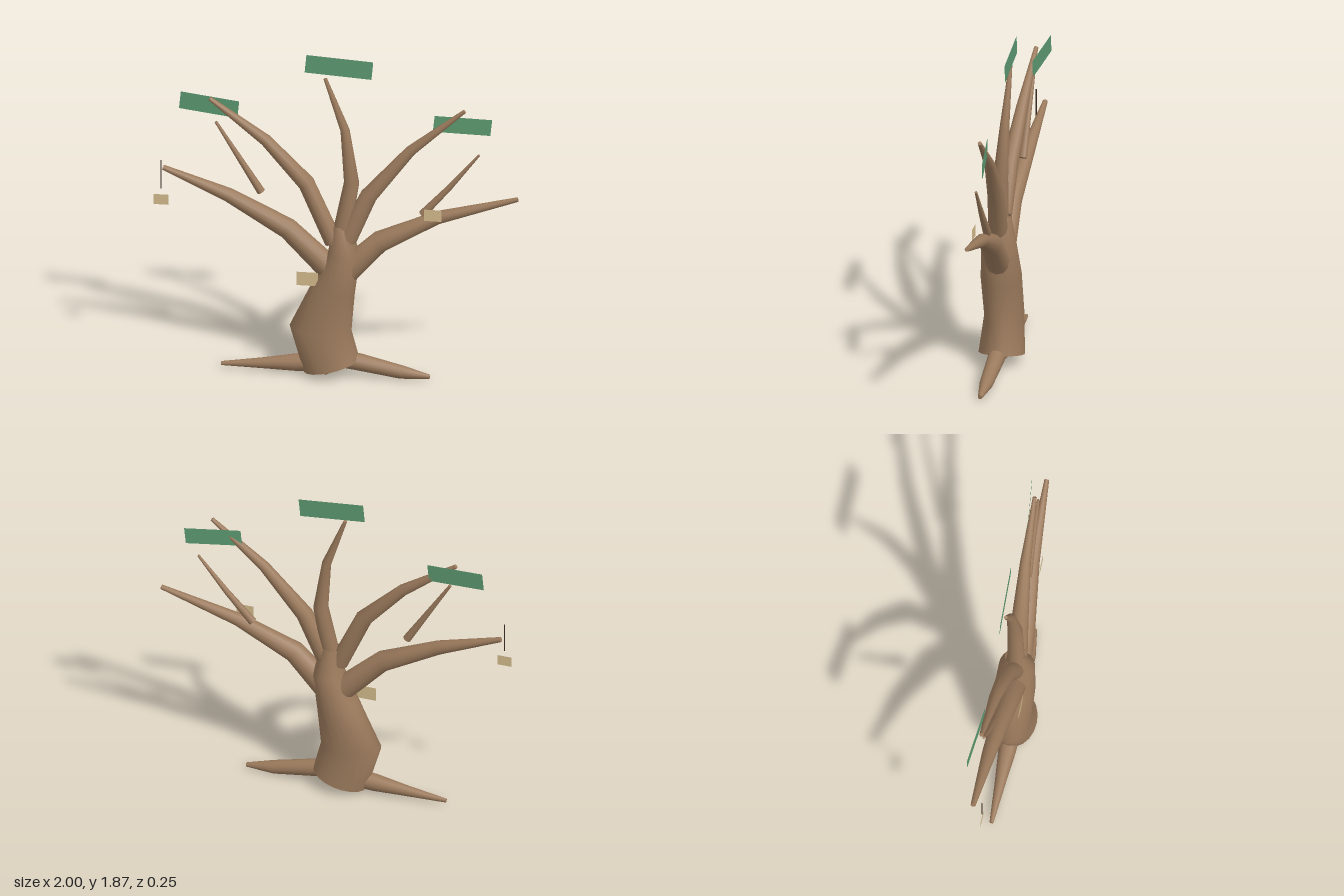
import * as THREE from 'three';

const wood = new THREE.MeshStandardMaterial({ color: 0x9b7a5c, side: THREE.DoubleSide });
const leaf = new THREE.MeshStandardMaterial({ color: 0x5c9970, side: THREE.DoubleSide });
const paper = new THREE.MeshStandardMaterial({ color: 0xd2bb8c, side: THREE.DoubleSide });
const dark = new THREE.MeshStandardMaterial({ color: 0x3a2a22 });

// Tapered limb swept through stations [x, y, z, radius, depthRadius]
function limb(stations, sides, capped) {
  const pts = stations.map(s => new THREE.Vector3(s[0], s[1], s[2]));
  const pos = [], idx = [];
  const ring = i => {
    const a = pts[Math.max(i - 1, 0)], b = pts[Math.min(i + 1, pts.length - 1)];
    const t = b.clone().sub(a).setZ(0).normalize();
    const [, , , r, d = r] = stations[i];
    const start = pos.length / 3;
    for (let j = 0; j < sides; j++) {
      const u = j / sides * Math.PI * 2, c = Math.cos(u) * r;
      pos.push(pts[i].x - t.y * c, pts[i].y + t.x * c, pts[i].z + Math.sin(u) * d);
    }
    return start;
  };
  const rings = pts.map((_, i) => ring(i));
  for (let i = 0; i < rings.length - 1; i++) {
    for (let j = 0; j < sides; j++) {
      const k = (j + 1) % sides, a = rings[i], b = rings[i + 1];
      idx.push(a + j, a + k, b + j, a + k, b + k, b + j);
    }
  }
  // Flat end caps on their own vertices keep the rims sharp
  if (capped) {
    for (const i of [0, pts.length - 1]) {
      const s = ring(i), c = pos.length / 3;
      pos.push(...pts[i].toArray());
      for (let j = 0; j < sides; j++) {
        const k = (j + 1) % sides;
        if (i === 0) idx.push(c, s + k, s + j);
        else idx.push(c, s + j, s + k);
      }
    }
  }
  const g = new THREE.BufferGeometry();
  g.setAttribute('position', new THREE.Float32BufferAttribute(pos, 3));
  g.setIndex(idx);
  g.computeVertexNormals();
  return g;
}

// Flat upright card between two lower corners, with an upward edge vector
function card([x0, y0, z0], [x1, y1, z1], [ux, uy]) {
  const g = new THREE.PlaneGeometry(1, 1);
  const p = g.attributes.position;
  for (let i = 0; i < p.count; i++) {
    const s = p.getX(i) + 0.5, t = p.getY(i) + 0.5;
    p.setXYZ(i, x0 + (x1 - x0) * s + ux * t, y0 + (y1 - y0) * s + uy * t, z0 + (z1 - z0) * s);
  }
  g.computeVertexNormals();
  return g;
}

export function createModel() {
  const tree = new THREE.Group();
  tree.name = 'tree';
  const add = (name, geometry, material) => {
    const m = new THREE.Mesh(geometry, material);
    m.name = name;
    tree.add(m);
  };

  // Bent trunk, open at the foot
  add('trunk', limb([
    [-0.025, 0.065, 0, 0.158, 0.125],
    [-0.085, 0.28, 0, 0.17, 0.105],
    [-0.01, 0.53, 0, 0.118, 0.112],
    [0.045, 0.73, 0, 0.088, 0.098],
    [0.025, 0.9, -0.01, 0.046, 0.052],
  ], 20, false), wood);

  // Main branches
  const branches = {
    lowerRightBranch: [[-0.03, 0.63, 0, 0.07], [-0.265, 0.86, 0, 0.058], [-0.595, 1.03, -0.02, 0.039], [-0.955, 1.165, -0.033, 0.014]],
    upperRightBranch: [[-0.015, 0.8, 0, 0.05], [-0.165, 1.13, -0.015, 0.047], [-0.39, 1.365, -0.03, 0.033], [-0.7, 1.59, -0.04, 0.012]],
    middleBranch: [[0.025, 0.82, 0, 0.05], [0.083, 1.15, -0.018, 0.042], [0.045, 1.45, -0.033, 0.026], [-0.065, 1.75, -0.04, 0.01]],
    upperLeftBranch: [[0.06, 0.82, 0, 0.055], [0.178, 1.08, -0.012, 0.047], [0.405, 1.355, -0.03, 0.03], [0.7, 1.605, -0.04, 0.011]],
    lowerLeftBranch: [[0.06, 0.63, 0, 0.072], [0.24, 0.815, 0, 0.06], [0.555, 0.97, -0.02, 0.037], [0.993, 1.1, -0.035, 0.013]],
    rightTwig: [[-0.415, 1.055, -0.03, 0.023], [-0.665, 1.455, -0.035, 0.008]],
    leftTwig: [[0.47, 0.98, -0.03, 0.023], [0.62, 1.15, -0.034, 0.016], [0.78, 1.35, -0.037, 0.007]],
  };
  for (const name in branches) add(name, limb(branches[name], 12, true), wood);

  // Spreading roots
  add('rightRoot', limb([[-0.02, 0.08, 0, 0.052], [-0.22, 0.063, 0, 0.048], [-0.39, 0.048, 0, 0.031], [-0.63, 0.03, 0, 0.011]], 12, true), wood);
  add('leftRoot', limb([[0.02, 0.105, 0, 0.05], [0.14, 0.085, 0, 0.047], [0.36, 0.042, 0, 0.037], [0.515, 0.024, 0, 0.012]], 12, true), wood);
  add('frontRoot', limb([[0.03, 0.09, 0, 0.04], [-0.06, 0.045, 0.05, 0.025]], 12, true), wood);

  // Leaf cards behind the branch tips
  add('topLeafCard', card([-0.18, 1.775, -0.05], [0.185, 1.748, -0.065], [0.01, 0.105]), leaf);
  add('rightLeafCard', card([-0.875, 1.5, -0.085], [-0.55, 1.475, -0.055], [0.01, 0.1]), leaf);
  add('leftLeafCard', card([0.525, 1.47, -0.045], [0.835, 1.447, -0.085], [0.01, 0.095]), leaf);

  // Paper tags [x, y, z, width, height]
  for (const [x, y, z, w, h] of [[-1, 0.965, 0.018, 0.083, 0.06], [-0.208, 0.552, 0.06, 0.118, 0.08], [0.487, 0.968, 0.03, 0.097, 0.068]])
    add('tag', card([x, y, z], [x + w, y, z], [0, h]), paper);

  // String over the branch tip
  const string = new THREE.CylinderGeometry(0.003, 0.003, 0.17, 6);
  string.translate(-0.958, 1.145, 0.018);
  add('tagString', string, dark);

  return tree;
}
